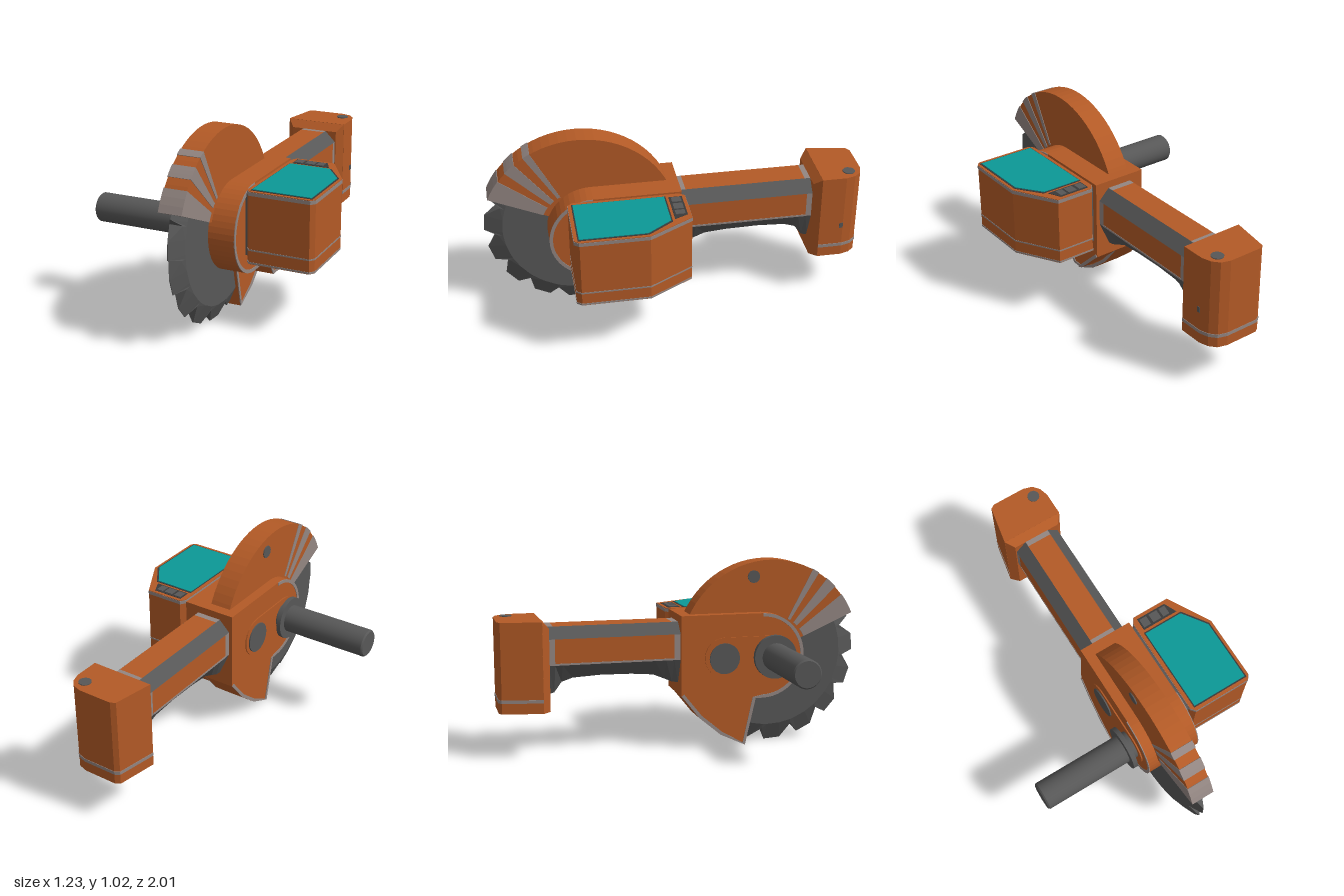
import * as THREE from 'three';

const mat = (name, color) => {
  const m = new THREE.MeshStandardMaterial({ color });
  m.name = name;
  return m;
};

export function createModel() {
  const orange = mat('orange', 0xb35a26);
  const grey = mat('darkGrey', 0x575757);
  const black = mat('buttonGrey', 0x3a3a3a);
  const worn = mat('wornMetal', 0x938682);
  const teal = mat('teal', 0x0c9896);
  const root = new THREE.Group();
  root.name = 'circularSaw';

  const add = (name, geo, material, x = 0, y = 0, z = 0) => {
    const m = new THREE.Mesh(geo, material);
    m.name = name;
    m.position.set(x, y, z);
    root.add(m);
    return m;
  };
  const shapeOf = (pts) => new THREE.Shape(pts.map(([a, b]) => new THREE.Vector2(a, b)));
  const extrude = (pts, depth) => new THREE.ExtrudeGeometry(shapeOf(pts), { depth, bevelEnabled: false });
  // Side profile in (z, y), spanning x0..x1
  const side = (name, pts, x0, x1, m) => add(name, extrude(pts, x1 - x0).rotateY(-Math.PI / 2), m, x1);
  // Plan outline in (x, z), spanning y0..y1
  const plan = (name, pts, y0, y1, m) =>
    add(name, extrude(pts.map(([x, z]) => [x, -z]), y1 - y0).rotateX(-Math.PI / 2), m, 0, y0);
  const box = (name, x0, x1, y0, y1, z0, z1, m) =>
    add(name, new THREE.BoxGeometry(x1 - x0, y1 - y0, z1 - z0), m, (x0 + x1) / 2, (y0 + y1) / 2, (z0 + z1) / 2);
  const rodX = (name, r, x0, x1, y, z, m, n = 32) =>
    add(name, new THREE.CylinderGeometry(r, r, x1 - x0, n).rotateZ(Math.PI / 2), m, (x0 + x1) / 2, y, z);
  const arc = (cz, cy, r, a0, a1, n) => Array.from({ length: n + 1 }, (_, i) => {
    const a = THREE.MathUtils.degToRad(a0 + (a1 - a0) * i / n);
    return [cz + r * Math.cos(a), cy + r * Math.sin(a)];
  });
  // Flat-faced skin through closed rings; pick(ring, edge) chooses the colour
  const loft = (name, rings, pick) => {
    const sets = new Map();
    for (let i = 0; i < rings.length - 1; i++) {
      const n = rings[i].length;
      for (let j = 0; j < n; j++) {
        const k = (j + 1) % n, m = pick(i, j);
        const a = rings[i][j], b = rings[i][k], c = rings[i + 1][j], d = rings[i + 1][k];
        if (!sets.has(m)) sets.set(m, []);
        sets.get(m).push(...a, ...c, ...b, ...b, ...c, ...d);
      }
    }
    for (const [m, v] of sets) {
      const g = new THREE.BufferGeometry();
      g.setAttribute('position', new THREE.Float32BufferAttribute(v, 3));
      g.computeVertexNormals();
      add(name, g, m);
    }
  };
  // Strip following a clockwise outline, inset by w
  const strip = (pts, w) => {
    const inner = pts.map((p, i) => {
      const a = pts[Math.max(i - 1, 0)], b = pts[Math.min(i + 1, pts.length - 1)];
      const du = b[0] - a[0], dv = b[1] - a[1], l = Math.hypot(du, dv);
      return [p[0] + dv / l * w, p[1] - du / l * w];
    });
    return [...pts, ...inner.reverse()];
  };

  // Gear housing: left and right halves share the rounded nose
  const nose = arc(0.44, 0.505, 0.235, 90, -90, 24);
  const lowerGuard = [[0.4, 0.27], [0.34, 0.01], [0.2, 0.075], [0.08, 0.175], [-0.02, 0.3]];
  const lowerBump = [[0.27, 0.27], [0.2, 0.16], [0.13, 0.16], [-0.02, 0.3]];
  side('housingWithLowerGuard', [[-0.02, 0.74], ...nose, ...lowerGuard], -0.06, 0.115, orange);
  side('housingMotorSide', [[-0.02, 0.74], ...nose, ...lowerBump], 0.115, 0.24, orange);
  side('housingTrimRight', strip([...nose, ...lowerGuard], 0.018), -0.064, -0.059, worn);
  side('housingTrimLeft', strip([...nose, ...lowerBump], 0.018), 0.239, 0.244, worn);
  side('lowerGuardTrim', strip(lowerGuard, 0.018), 0.114, 0.119, worn);

  // Upper blade guard with worn stripes
  const CZ = 0.5, CY = 0.51;
  side('bladeGuard', [...arc(CZ, CY, 0.515, 24, 156, 26), ...arc(CZ, CY, 0.18, 156, 24, 10)], -0.005, 0.115, orange);
  for (const [a, b] of [[23.7, 37], [43.5, 51], [57.5, 62]]) {
    side('guardStripe', [...arc(CZ, CY, 0.518, a, b, 3), ...arc(CZ, CY, 0.21, b, a, 3)], -0.008, 0.118, worn);
  }
  rodX('guardBolt', 0.035, -0.011, -0.004, 0.935, 0.4, grey, 12);

  // Saw blade: flat core thinning to sharp teeth
  const BX = 0.055, teeth = 16;
  const bladeRing = (x, radius) => {
    const ring = [];
    for (let t = 0; t < teeth; t++) {
      [[-5, 0], [5.5, 0], [8.5, 1]].forEach(([off, gullet]) => {
        const a = THREE.MathUtils.degToRad(t * 22.5 - 4 + off);
        const r = radius ?? (gullet ? 0.435 : 0.505);
        const dx = radius === undefined ? x * (gullet ? 0.8 : 0.04) : x;
        ring.push([BX + dx, CY - r * Math.sin(a), CZ + r * Math.cos(a)]);
      });
    }
    return ring;
  };
  loft('sawBlade', [bladeRing(0.045, 0), bladeRing(0.045, 0.41), bladeRing(0.045),
    bladeRing(-0.045), bladeRing(-0.045, 0.41), bladeRing(-0.045, 0)], () => grey);

  // Side handle, collar and lock button
  rodX('sideHandle', 0.077, -0.607, -0.05, 0.505, 0.495, grey);
  add('sideHandleTip', new THREE.CylinderGeometry(0.077, 0.07, 0.008, 32).rotateZ(-Math.PI / 2), grey, -0.611, 0.505, 0.495);
  rodX('sideHandleCollar', 0.12, -0.12, -0.095, 0.505, 0.495, grey);
  side('lockPad', [...arc(0.495, 0.505, 0.11, 90, -90, 12), ...arc(0.22, 0.505, 0.11, -90, -270, 12)], -0.067, -0.05, orange);
  rodX('lockButton', 0.085, -0.074, -0.06, 0.5, 0.22, grey, 20);

  // Motor box with screen and buttons
  const boxPlan = [[0.275, -0.03], [0.485, -0.03], [0.615, 0.2], [0.615, 0.55], [0.595, 0.575], [0.275, 0.575], [0.255, 0.55], [0.255, 0]];
  const grown = boxPlan.map(([x, z]) => [0.435 + (x - 0.435) * 1.01, 0.27 + (z - 0.27) * 1.006]);
  plan('motorBox', boxPlan, 0.36, 0.74, orange);
  plan('boxTopBand', grown, 0.718, 0.737, worn);
  plan('boxLine', grown, 0.431, 0.439, worn);
  plan('boxBottomBand', grown, 0.362, 0.372, worn);
  plan('screenFrame', [[0.275, 0.072], [0.507, 0.072], [0.6, 0.205], [0.6, 0.557], [0.275, 0.557]], 0.738, 0.742, black);
  plan('screen', [[0.28, 0.08], [0.5, 0.08], [0.592, 0.21], [0.592, 0.55], [0.28, 0.55]], 0.74, 0.745, teal);
  plan('buttonPanel', [[0.285, -0.012], [0.455, -0.012], [0.488, 0.058], [0.285, 0.058]], 0.738, 0.742, black);
  [[0.293, 0.335], [0.35, 0.4], [0.412, 0.45]].forEach(([a, b]) =>
    box('button', a, b, 0.74, 0.745, -0.002, 0.048, grey));
  box('motorJoint', 0.235, 0.26, 0.39, 0.715, 0.01, 0.54, grey);

  // Grip: eight-sided, arched underneath
  const grip = [[-0.02, 0.365], [-0.055, 0.37], [-0.1, 0.39], [-0.16, 0.415], [-0.28, 0.425], [-0.45, 0.428],
    [-0.6, 0.42], [-0.66, 0.4], [-0.7, 0.345], [-0.735, 0.335]];
  const gripRings = grip.map(([z, b]) => [[0.16, b], [0.22, 0.5], [0.22, 0.64], [0.16, 0.7],
    [0.02, 0.7], [-0.04, 0.64], [-0.04, 0.5], [0.02, b]].map(([x, y]) => [x, y, z]));
  loft('grip', gripRings, (i, j) => (j % 2 || j > 5 ? (j === 1 || j === 3 || j === 5 ? orange : grey) : grey) === orange
    ? (i === 0 || i === 8 ? worn : orange) : grey);
  for (const x of [-0.04, 0.22]) box('gripEdgeWear', x - 0.002, x + 0.002, 0.5, 0.51, -0.7, -0.05, worn);

  // Rear battery block with tapered front
  const back = [[-0.085, -0.77], [0.26, -0.77], [0.26, -0.9], [0.245, -0.95], [0.215, -0.985], [0.165, -1],
    [-0.02, -1], [-0.045, -0.985]];
  plan('rearBlock', back.slice().reverse(), 0.255, 0.74, orange);
  plan('rearBlockBand', back.slice().reverse().map(([x, z]) => [0.0875 + (x - 0.0875) * 1.015, -0.77 + (z + 0.77) * 1.01]), 0.312, 0.33, worn);
  const rect = (x0, x1, y0, y1, z) => [[x0, y0, z], [x1, y0, z], [x1, y1, z], [x0, y1, z]];
  loft('rearBlockTaper', [rect(0.09, 0.09, 0.5, 0.5, -0.73), rect(-0.045, 0.225, 0.255, 0.7, -0.73),
    rect(-0.085, 0.26, 0.255, 0.74, -0.771)], () => orange);
  add('rearBlockScrew', new THREE.CylinderGeometry(0.033, 0.033, 0.006, 12), grey, 0.19, 0.741, -0.93);
  box('rearBlockMark', 0.257, 0.263, 0.43, 0.46, -0.9, -0.88, grey);

  return root;
}
